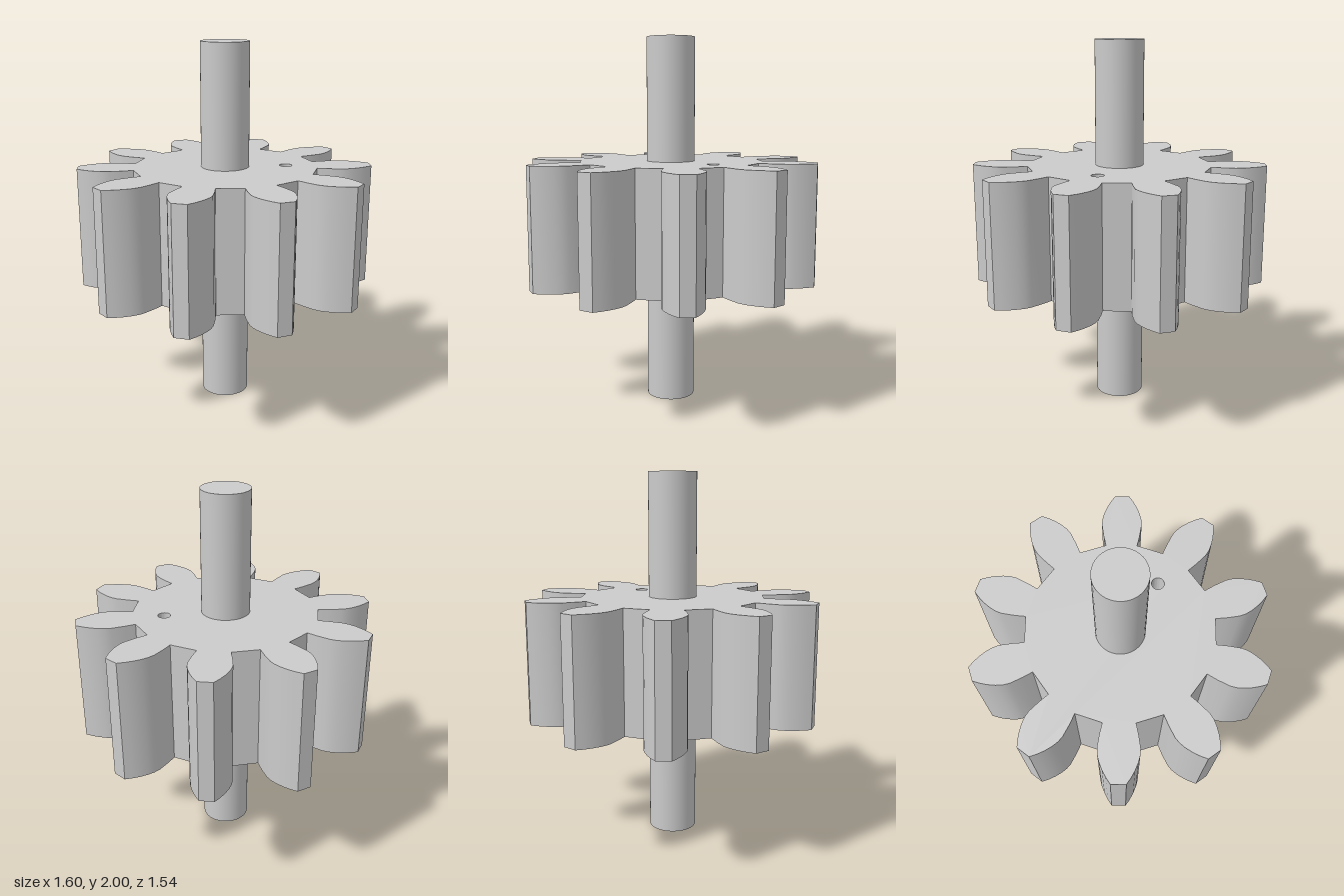
import * as THREE from 'three';
import { toCreasedNormals } from 'three/addons/utils/BufferGeometryUtils.js';

const TEETH = 10;
const GEAR_BOTTOM = 0.667, GEAR_HEIGHT = 0.666;

// Upper flank of a tooth pointing along +x, from root to tip
const FLANK = [
  [0.493, 0.084], [0.55, 0.097], [0.62, 0.108], [0.655, 0.106],
  [0.69, 0.097], [0.73, 0.081], [0.765, 0.062], [0.799, 0.039],
];

// Closed outline: each tooth runs up its lower flank, across the tip and down the upper one
function gearShape() {
  const tooth = [
    ...FLANK.map(([x, y]) => [x, -y]),
    ...[...FLANK].reverse(),
  ];
  const points = [];
  for (let i = 0; i < TEETH; i++) {
    const angle = (i / TEETH) * Math.PI * 2;
    for (const [x, y] of tooth) {
      points.push(new THREE.Vector2(x, y).rotateAround(new THREE.Vector2(), angle));
    }
  }
  const shape = new THREE.Shape(points);

  // Small through hole beside the shaft
  const hole = new THREE.Path();
  hole.absarc(0.333, 0, 0.034, 0, Math.PI * 2, true);
  shape.holes.push(hole);
  return shape;
}

export function createModel() {
  const group = new THREE.Group();
  group.name = 'pinionGear';
  const material = new THREE.MeshStandardMaterial({ color: 0xcccccc });

  // Toothed wheel, smooth along flanks and sharp at tips, roots and rims
  const gearGeometry = new THREE.ExtrudeGeometry(gearShape(), {
    depth: GEAR_HEIGHT, bevelEnabled: false, curveSegments: 16,
  });
  gearGeometry.rotateX(-Math.PI / 2);
  const gear = new THREE.Mesh(toCreasedNormals(gearGeometry, 0.55), material);
  gear.name = 'gearWheel';
  gear.position.y = GEAR_BOTTOM;
  group.add(gear);

  // Shaft through the centre
  const shaft = new THREE.Mesh(new THREE.CylinderGeometry(0.131, 0.131, 2, 48), material);
  shaft.name = 'shaft';
  shaft.position.y = 1;
  group.add(shaft);

  return group;
}
